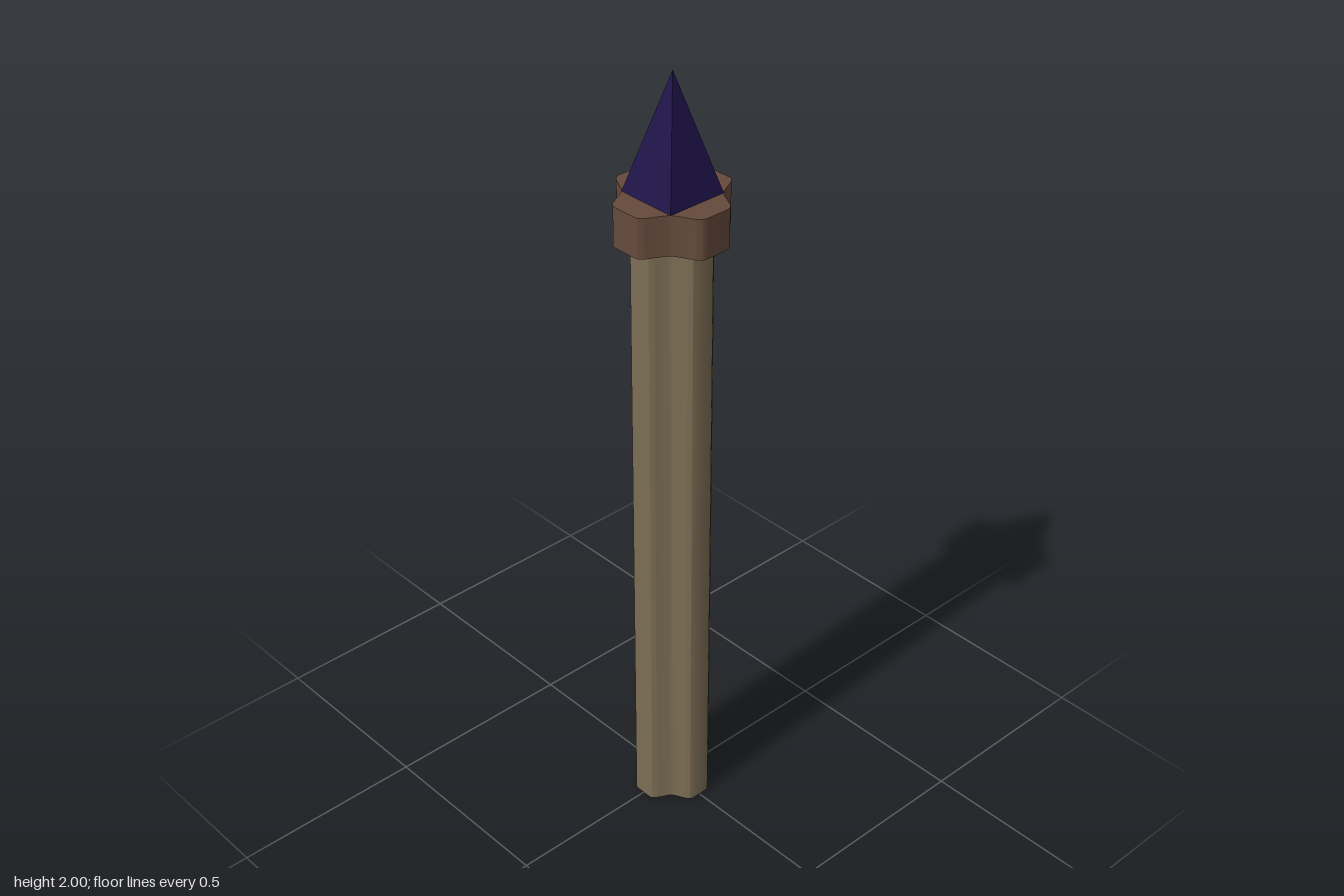
import * as THREE from 'three';
import { toCreasedNormals } from 'three/addons/utils/BufferGeometryUtils.js';

// Rounded cross-shaped outline: four blunt lobes joined by soft notches.
function lobedShape(scale) {
  const shape = new THREE.Shape();
  for (let i = 0; i < 4; i++) {
    const c = Math.round(Math.cos(i * Math.PI / 2)) * scale;
    const s = Math.round(Math.sin(i * Math.PI / 2)) * scale;
    const p = (x, y) => [x * c - y * s, x * s + y * c];
    if (i === 0) shape.moveTo(...p(0.143, -0.03));
    else shape.lineTo(...p(0.143, -0.03));
    shape.lineTo(...p(0.143, 0.03));
    shape.quadraticCurveTo(...p(0.143, 0.045), ...p(0.123, 0.055));
    shape.lineTo(...p(0.088, 0.073));
    shape.quadraticCurveTo(...p(0.079, 0.079), ...p(0.073, 0.088));
    shape.lineTo(...p(0.055, 0.123));
    shape.quadraticCurveTo(...p(0.045, 0.143), ...p(0.03, 0.143));
  }
  shape.closePath();
  return shape;
}

// Upright prism with the lobed outline, from y0 to y1.
function lobedPrism(name, scale, y0, y1, color) {
  const geometry = new THREE.ExtrudeGeometry(lobedShape(scale), {
    depth: y1 - y0, bevelEnabled: false, curveSegments: 8,
  });
  geometry.rotateX(-Math.PI / 2).translate(0, y0, 0);
  const mesh = new THREE.Mesh(
    toCreasedNormals(geometry, Math.PI / 6),
    new THREE.MeshStandardMaterial({ color }),
  );
  mesh.name = name;
  return mesh;
}

export function createModel() {
  const group = new THREE.Group();
  group.name = 'tower';

  group.add(lobedPrism('shaft', 0.72, 0, 1.61, 0x7d6f55));
  group.add(lobedPrism('collar', 1, 1.61, 1.71, 0x664a3c));

  // Four-sided pointed roof
  const roofGeometry = new THREE.ConeGeometry(0.08 * Math.SQRT2, 0.29, 4);
  roofGeometry.rotateY(Math.PI / 4).translate(0, 1.855, 0);
  const roof = new THREE.Mesh(
    roofGeometry,
    new THREE.MeshStandardMaterial({ color: 0x1e1248, flatShading: true }),
  );
  roof.name = 'roof';
  group.add(roof);

  return group;
}
